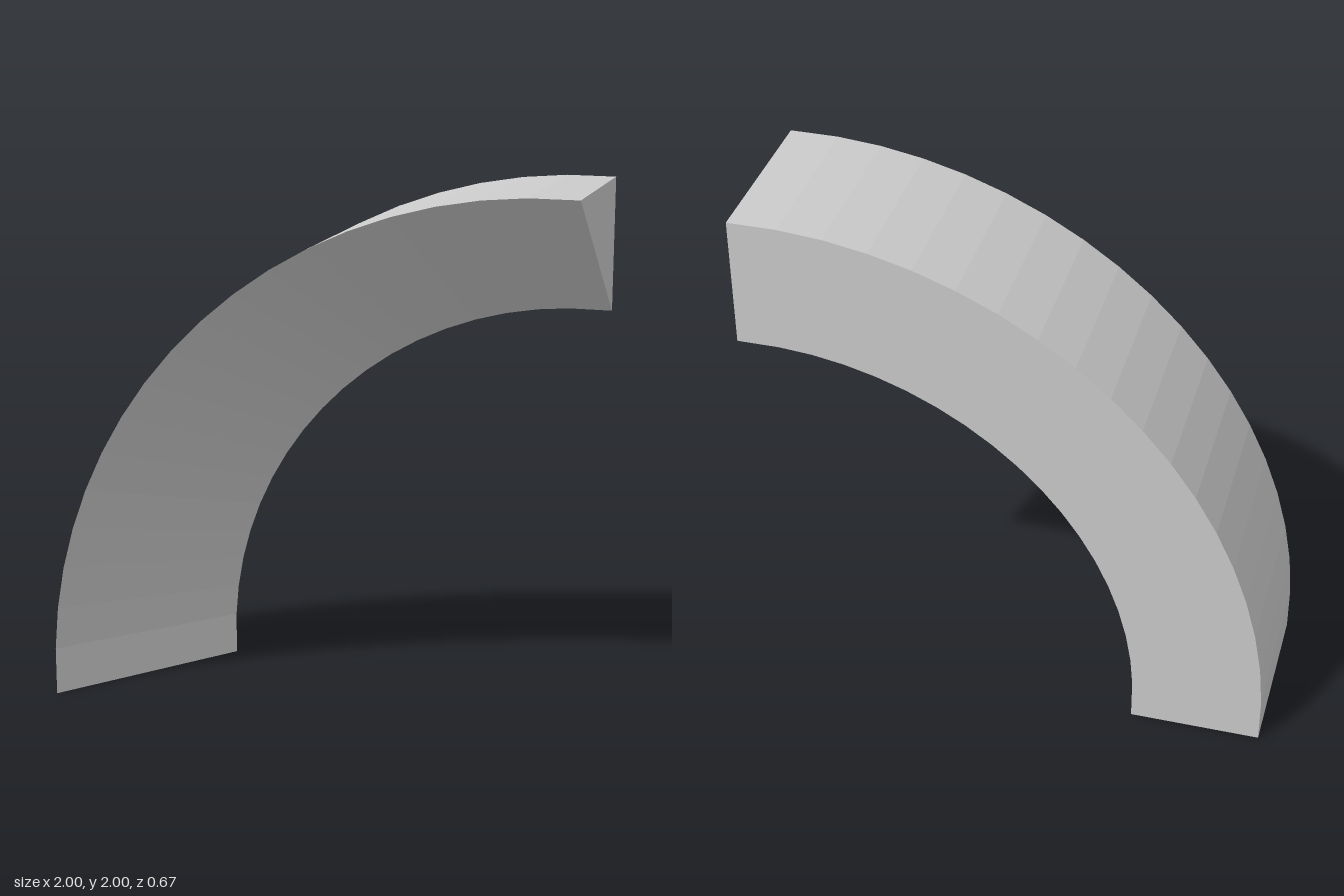
import * as THREE from 'three';

const DEPTH = 2 / 3;
const STRAIGHT = 0.1;      // short straight run at each end of the arch
const STEP = 5;            // degrees per facet

// Quarter-arch outline: end point, half-step corners, end point
function arcPoints(apothem) {
  const c = new THREE.Vector2(1 - STRAIGHT, STRAIGHT);
  const r = apothem / Math.cos(THREE.MathUtils.degToRad(STEP / 2));
  const pts = [new THREE.Vector2(c.x - apothem, 0)];
  for (let deg = STEP / 2; deg < 90; deg += STEP) {
    const a = THREE.MathUtils.degToRad(deg);
    pts.push(new THREE.Vector2(c.x - r * Math.cos(a), c.y + r * Math.sin(a)));
  }
  pts.push(new THREE.Vector2(1, c.y + apothem));
  return pts;
}

// Sweep a triangular section (outer front, outer back, inner back) along the arch
function archGeometry() {
  const outer = arcPoints(1.9);
  const inner = arcPoints(1.4);
  const rings = outer.map((o, i) => [
    [o.x, o.y, DEPTH / 2],
    [o.x, o.y, -DEPTH / 2],
    [inner[i].x, inner[i].y, -DEPTH / 2],
  ]);
  const pos = [];
  const tri = (a, b, c) => pos.push(...a, ...b, ...c);

  for (let i = 0; i < rings.length - 1; i++) {
    const p = rings[i], q = rings[i + 1];
    for (let k = 0; k < 3; k++) {
      const n = (k + 1) % 3;
      tri(p[k], q[k], q[n]);
      tri(p[k], q[n], p[n]);
    }
  }

  // End caps
  const first = rings[0], last = rings[rings.length - 1];
  tri(first[0], first[1], first[2]);
  tri(last[2], last[1], last[0]);

  const geo = new THREE.BufferGeometry();
  geo.setAttribute('position', new THREE.Float32BufferAttribute(pos, 3));
  geo.computeVertexNormals();
  return geo;
}

export function createModel() {
  const group = new THREE.Group();
  const material = new THREE.MeshStandardMaterial({ color: 0xcccccc, flatShading: true });
  const arch = new THREE.Mesh(archGeometry(), material);
  arch.name = 'quarterArch';
  group.add(arch);
  return group;
}
